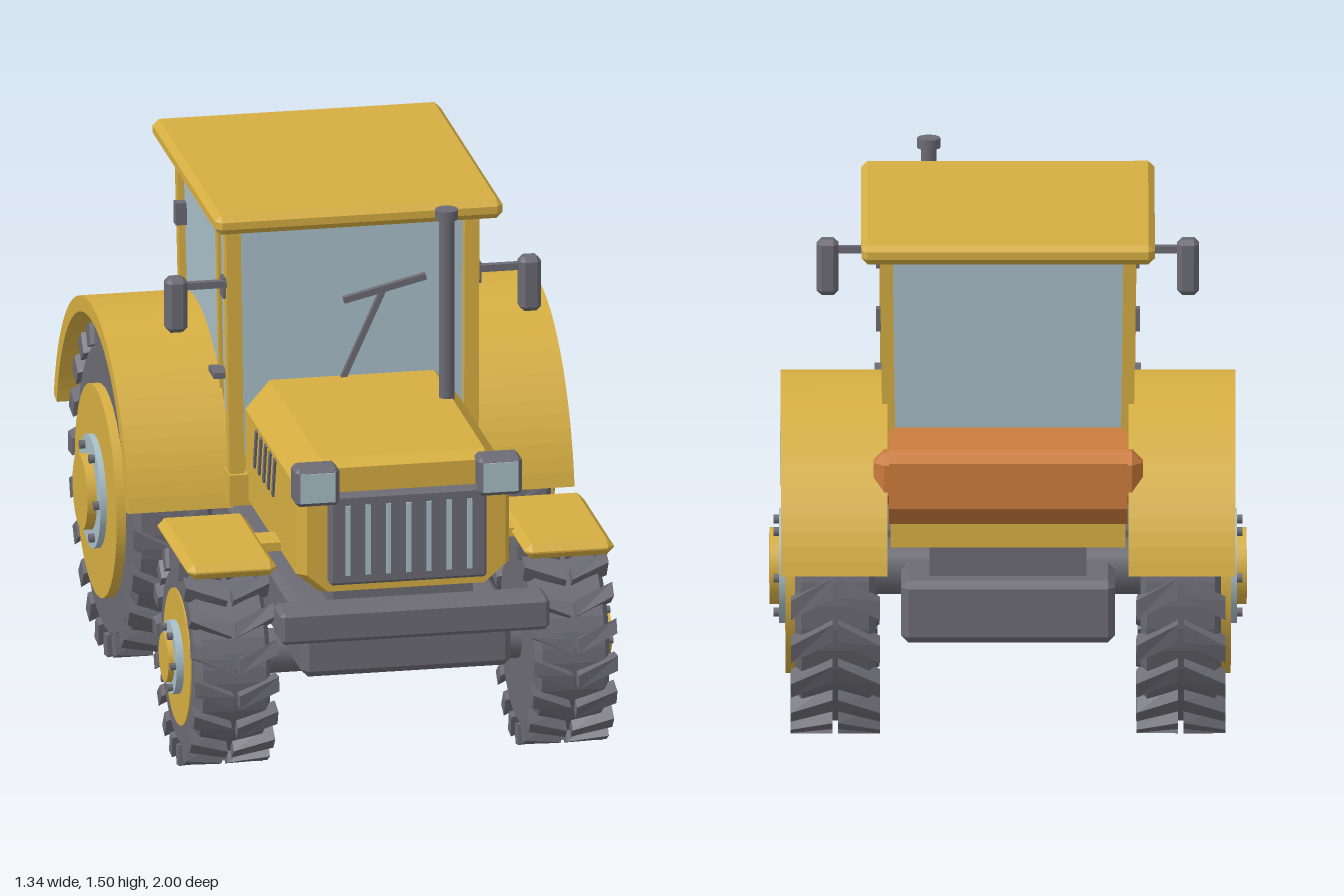
import * as THREE from 'three';
import { mergeGeometries } from 'three/addons/utils/BufferGeometryUtils.js';
import { ConvexGeometry } from 'three/addons/geometries/ConvexGeometry.js';

const paint = (name, color) => Object.assign(new THREE.MeshStandardMaterial({ color }), { name });

export function createModel() {
  const yellow = paint('yellow paint', 0xd6ae42);
  const grey = paint('dark grey', 0x6c6b74);
  const glass = paint('pale glass', 0xa9bfc9);
  const orange = paint('orange paint', 0xcb7b3c);
  const model = new THREE.Group();
  model.name = 'tractor';

  const add = (name, geo, mat, x = 0, y = 0, z = 0, parent = model) => {
    const mesh = new THREE.Mesh(geo, mat);
    mesh.name = name;
    mesh.position.set(x, y, z);
    parent.add(mesh);
    return mesh;
  };
  // Plain or chamfered box given by its limits
  const block = (name, mat, [x0, x1], [y0, y1], [z0, z1], c = 0) => {
    const h = [(x1 - x0) / 2, (y1 - y0) / 2, (z1 - z0) / 2];
    let geo;
    if (c) {
      const pts = [];
      for (const a of [-1, 1]) for (const b of [-1, 1]) for (const d of [-1, 1])
        for (let k = 0; k < 3; k++) {
          const e = h.map((v, i) => (i === k ? v : v - c));
          pts.push(new THREE.Vector3(a * e[0], b * e[1], d * e[2]));
        }
      geo = new ConvexGeometry(pts);
    } else geo = new THREE.BoxGeometry(2 * h[0], 2 * h[1], 2 * h[2]);
    return add(name, geo, mat, (x0 + x1) / 2, (y0 + y1) / 2, (z0 + z1) / 2);
  };
  const span = (s, a, b) => (s > 0 ? [a, b] : [-b, -a]);
  // Square bar between two points
  const beam = (name, mat, a, b, w, d = w) => {
    const p = new THREE.Vector3(...a), q = new THREE.Vector3(...b);
    const mesh = add(name, new THREE.BoxGeometry(w, p.distanceTo(q), d), mat);
    mesh.position.copy(p).add(q).multiplyScalar(0.5);
    mesh.quaternion.setFromUnitVectors(new THREE.Vector3(0, 1, 0), q.sub(p).normalize());
    return mesh;
  };
  // Cylinder lying along x
  const drum = (r, len, n = 32) => new THREE.CylinderGeometry(r, r, len, n).rotateZ(Math.PI / 2);
  // Shape drawn in (z, y), extruded along x and centred
  const sideExtrude = (shape, width, curveSegments) =>
    new THREE.ExtrudeGeometry(shape, { depth: width, bevelEnabled: false, curveSegments })
      .translate(0, 0, -width / 2).rotateY(-Math.PI / 2);

  // Wheels with V-shaped tread bars
  function wheel(name, s, y, z, o) {
    const g = new THREE.Group();
    g.name = name;
    g.position.set(s * 0.485, y, z);
    model.add(g);
    const { R, lug, hw, n, slant, thick } = o;
    const profile = [[0, -hw + 0.012], [R - 0.03, -hw + 0.012], [R, -hw + 0.03], [R, hw - 0.03], [R - 0.03, hw - 0.012], [0, hw - 0.012]];
    const tyre = new THREE.LatheGeometry(profile.map(p => new THREE.Vector2(...p)), 40).rotateZ(-Math.PI / 2).toNonIndexed();
    tyre.computeVertexNormals();
    add('tyre', tyre, grey, 0, 0, 0, g);
    const bars = [];
    for (let i = 0; i < n; i++) for (const m of [-1, 1]) {
      const bar = new THREE.BoxGeometry(1, 1, 1).toNonIndexed();
      const p = bar.attributes.position;
      for (let k = 0; k < p.count; k++) {
        const x = m * (hw + 0.008) / 2 + p.getX(k) * (hw - 0.008);
        const r = p.getY(k) > 0 ? lug : R - 0.025;
        const t = (i / n) * Math.PI * 2 + p.getZ(k) * thick - slant * Math.abs(x) / hw;
        p.setXYZ(k, x, r * Math.cos(t), r * Math.sin(t));
      }
      bar.computeVertexNormals();
      bars.push(bar);
    }
    add('tread', mergeGeometries(bars), grey, 0, 0, 0, g);
    const disc = (label, mat, r, outer) => add(label, drum(r, outer - 0.5), mat, s * ((outer + 0.5) / 2 - 0.485), 0, 0, g);
    disc('rim', yellow, o.rim, o.out[0]);
    disc('hubRing', glass, o.ring, o.out[1]);
    disc('hubCap', yellow, o.cap, o.out[2]);
    const bolt = drum(o.bolt, 0.03, 8);
    for (let i = 0; i < 6; i++) {
      const t = (i / 6) * Math.PI * 2;
      add('bolt', bolt, grey, s * (o.out[1] - 0.485), (o.ring + o.cap) / 2 * Math.sin(t), (o.ring + o.cap) / 2 * Math.cos(t), g);
    }
  }
  const front = { R: 0.275, lug: 0.308, hw: 0.12, n: 18, slant: 0.18, thick: 0.14, rim: 0.195, ring: 0.105, cap: 0.07, bolt: 0.011, out: [0.597, 0.618, 0.635] };
  const rear = { R: 0.435, lug: 0.472, hw: 0.125, n: 22, slant: 0.15, thick: 0.12, rim: 0.303, ring: 0.162, cap: 0.108, bolt: 0.013, out: [0.625, 0.643, 0.67] };

  // Chassis, axles and bumper
  block('chassis', grey, [-0.3, 0.3], [0.325, 0.505], [-0.75, 0.88], 0.02);
  block('gearbox', grey, [-0.22, 0.22], [0.48, 0.62], [-0.68, -0.08]);
  block('engineMount', grey, [-0.2, 0.2], [0.48, 0.6], [0.35, 0.82]);
  block('bumper', grey, [-0.385, 0.385], [0.465, 0.56], [0.885, 1], 0.012);
  add('frontAxle', drum(0.063, 0.9, 20), grey, 0, 0.312, 0.567);
  add('rearAxle', drum(0.08, 0.9, 20), grey, 0, 0.475, -0.46);

  // Bonnet with an eight-sided section
  const section = [[-0.24, 0.56], [0.24, 0.56], [0.305, 0.615], [0.305, 0.87], [0.235, 0.95], [-0.235, 0.95], [-0.305, 0.87], [-0.305, 0.615]];
  const ring = (k, z) => section.map(([x, y]) => new THREE.Vector3(x * k, 0.75 + (y - 0.75) * k, z));
  add('bonnet', new ConvexGeometry([...ring(1, 0.08), ...ring(1, 0.81), ...ring(0.93, 0.865)]), yellow);

  // Grille and its bars
  block('grille', grey, [-0.225, 0.225], [0.6, 0.865], [0.85, 0.9], 0.008);
  for (let i = -3; i <= 3; i++)
    block('grilleBar', glass, [i * 0.058 - 0.007, i * 0.058 + 0.007], [0.63, 0.835], [0.898, 0.906]);

  // Exhaust
  add('exhaustPipe', new THREE.CylinderGeometry(0.022, 0.022, 0.55, 12), grey, 0.222, 1.215, 0.33);
  add('exhaustCap', new THREE.CylinderGeometry(0.033, 0.033, 0.028, 12), grey, 0.222, 1.49, 0.33);

  // Cab: base, tapered glass body, roof
  block('cabBase', yellow, [-0.33, 0.33], [0.59, 0.74], [-0.69, 0.09]);
  const cab = [];
  for (const s of [-1, 1])
    for (const [x, y, z] of [[0.33, 0.72, 0.09], [0.342, 1.43, 0.068], [0.33, 0.72, -0.61], [0.342, 1.43, -0.645]])
      cab.push(new THREE.Vector3(s * x, y, z));
  add('cabGlass', new ConvexGeometry(cab), glass);
  block('roof', yellow, [-0.412, 0.412], [1.42, 1.477], [-0.73, 0.2], 0.018);
  block('rearSill', yellow, [-0.33, 0.33], [0.72, 0.77], [-0.64, -0.6]);

  // Windscreen wiper
  beam('wiperArm', grey, [-0.03, 0.94, 0.092], [0.09, 1.2, 0.085], 0.016);
  beam('wiperBlade', grey, [-0.025, 1.175, 0.09], [0.21, 1.232, 0.09], 0.018);

  // Rear tank
  const tank = new THREE.Shape([[-0.62, 0.7], [-0.62, 0.92], [-0.86, 0.92], [-0.9, 0.89], [-0.9, 0.76], [-0.84, 0.7]].reverse().map(p => new THREE.Vector2(...p)));
  add('tank', sideExtrude(tank, 0.67, 1), orange);
  block('tankRear', orange, [-0.378, 0.378], [0.765, 0.915], [-0.898, -0.8], 0.03);

  // Rear mudguard arc
  const arc = new THREE.Shape();
  arc.absarc(-0.46, 0.475, 0.55, 0.19, Math.PI - 0.21, false);
  arc.absarc(-0.46, 0.475, 0.505, Math.PI - 0.21, 0.19, true);
  const guard = sideExtrude(arc, 0.3, 18);

  for (const s of [-1, 1]) {
    wheel('frontWheel', s, 0.311, 0.567, front);
    wheel('rearWheel', s, 0.475, -0.46, rear);
    add('rearMudguard', guard, yellow, s * 0.488);
    block('frontMudguard', yellow, span(s, 0.355, 0.61), [0.607, 0.652], [0.335, 0.805], 0.02);
    block('mudguardBracket', yellow, span(s, 0.28, 0.38), [0.615, 0.64], [0.5, 0.6]);
    block('cabFoot', yellow, span(s, 0.28, 0.36), [0.6, 0.69], [0.03, 0.13]);

    // Pillars
    beam('frontPillar', yellow, [s * 0.335, 0.68, 0.096], [s * 0.342, 1.43, 0.074], 0.042);
    beam('rearPillar', yellow, [s * 0.332, 0.7, -0.607], [s * 0.342, 1.43, -0.645], 0.036);
    beam('doorPillar', yellow, [s * 0.328, 0.72, -0.1], [s * 0.34, 1.43, -0.1], 0.026);

    // Headlight
    block('headlight', grey, span(s, 0.198, 0.325), [0.84, 0.952], [0.83, 0.912], 0.012);
    block('headlightLens', glass, span(s, 0.212, 0.311), [0.853, 0.939], [0.908, 0.916]);

    // Slanted side vents
    for (let i = 0; i < 5; i++) {
      const z = 0.245 + i * 0.066;
      beam('vent', grey, [s * 0.304, 0.745, z - 0.015], [s * 0.304, 0.86, z + 0.015], 0.014, 0.018);
    }

    // Mirror, door handle and rear lamp
    beam('mirrorArm', grey, [s * 0.345, 1.245, 0.09], [s * 0.5, 1.245, 0.09], 0.02);
    block('mirrorMount', grey, span(s, 0.35, 0.37), [1.2, 1.26], [0.05, 0.09]);
    block('mirror', grey, span(s, 0.475, 0.537), [1.115, 1.275], [0.065, 0.122], 0.014);
    block('doorHandle', grey, span(s, 0.33, 0.374), [0.928, 0.945], [-0.1, -0.02]);
    block('rearLamp', grey, span(s, 0.335, 0.37), [1.2, 1.265], [-0.62, -0.588]);

    // Entry steps with tread bars
    block('upperStep', grey, span(s, 0.28, 0.42), [0.42, 0.45], [0.01, 0.19]);
    block('stepSide', grey, span(s, 0.395, 0.42), [0.345, 0.45], [0.01, 0.19]);
    block('lowerStep', grey, span(s, 0.395, 0.53), [0.34, 0.362], [0.01, 0.19]);
    for (let i = 0; i < 4; i++) {
      const z = 0.025 + i * 0.042;
      block('stepTread', glass, span(s, 0.42, 0.528), [0.36, 0.369], [z, z + 0.026]);
    }
  }
  return model;
}
